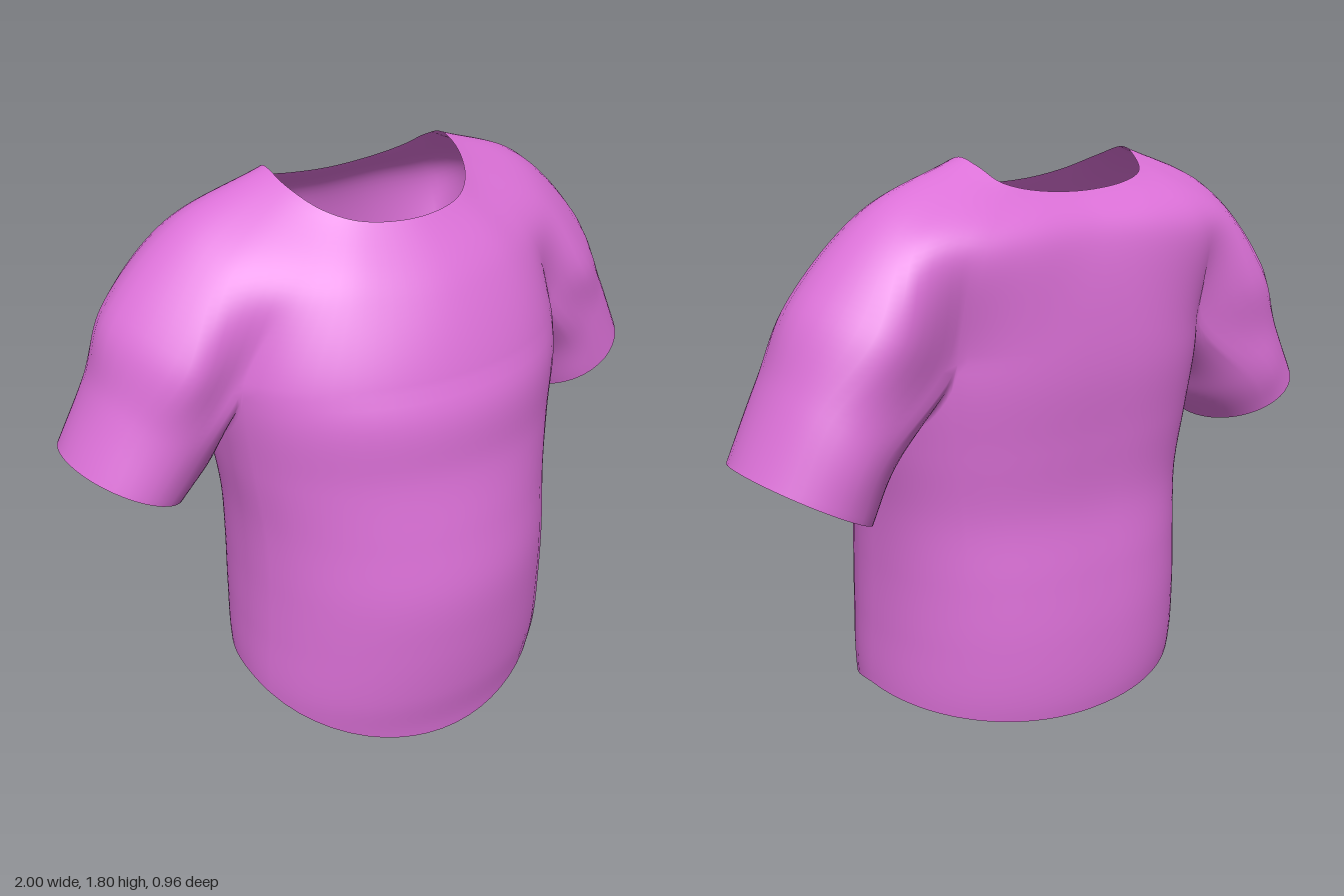
import * as THREE from 'three';
import { mergeVertices } from 'three/addons/utils/BufferGeometryUtils.js';

const COLS = 96, STEP = 6;                      // columns round the body, columns per key point
const V = (x, y, z) => new THREE.Vector3(x, y, z);
const { lerp, degToRad, clamp } = THREE.MathUtils;

// Catmull-Rom interpolation between b and c
const cr = (a, b, c, d, t) =>
  b + 0.5 * t * (c - a + t * (2 * a - 5 * b + 4 * c - d + t * (3 * (b - c) + d - a)));
const crV = (a, b, c, d, t) =>
  V(cr(a.x, b.x, c.x, d.x, t), cr(a.y, b.y, c.y, d.y, t), cr(a.z, b.z, c.z, d.z, t));
const reflect = (p, q) => p.clone().multiplyScalar(2).sub(q);

// Body profile every 0.2 in height: half width, front depth, back depth
const BODY = [
  [0.53, 0.41, 0.44], [0.545, 0.45, 0.475], [0.535, 0.475, 0.475], [0.525, 0.485, 0.455],
  [0.525, 0.46, 0.43], [0.545, 0.43, 0.44], [0.56, 0.42, 0.455], [0.555, 0.345, 0.45],
];
function bodyPoint(angle, y) {
  const f = clamp(y / 0.2, 0, 6.999), i = Math.floor(f);
  const at = k => BODY[clamp(k, 0, 7)];
  const [w, front, back] = [0, 1, 2].map(k => cr(at(i - 1)[k], at(i)[k], at(i + 1)[k], at(i + 2)[k], f - i));
  const c = Math.cos(angle), s = Math.sin(angle);
  const e = s >= 0 ? 1 : 2 / (2 + 0.75 * y);    // the back is squarer than the front
  return V(-0.02 + w * Math.sign(c) * Math.abs(c) ** e, y, s >= 0 ? front * s : -back * Math.abs(s) ** e);
}

// Column angles run front -> left side -> back -> right side
const KEY_ANGLES = [90, 55, 15, 0.5, -14, -28.5, -43, -65, -90];
function columnAngle(j) {
  const m = j <= COLS / 2 ? j : COLS - j;
  const k = Math.min(Math.floor(m / STEP), 7);
  const a = degToRad(lerp(KEY_ANGLES[k], KEY_ANGLES[k + 1], m / STEP - k));
  return j <= COLS / 2 ? a : Math.PI - a;
}
// Position across the armhole, 0..1, or -1 outside it
function armhole(j) {
  const m = j <= COLS / 2 ? j : COLS - j;
  return m >= 12 && m <= 36 ? (m - 12) / 24 : -1;
}
const hemY = a => Math.sin(a) > 0 ? 0.2 * (1 - Math.sin(a) ** 1.5) : 0.2 - 0.05 * Math.sin(a) ** 2;
const topY = j => 1.28 - (armhole(j) > 0 && armhole(j) < 1 ? 0.2 * Math.sin(Math.PI * armhole(j)) ** 0.7 : 0);
const bodyTop = j => bodyPoint(columnAngle(j), topY(j));

// Closed smooth ring from nine key points of the left half, mirrored about x = shift
function ring(half, shift) {
  const keys = half.map(p => V(p[0] + shift, p[1], p[2]));
  for (let k = 7; k > 0; k--) keys.push(V(shift - half[k][0], half[k][1], half[k][2]));
  return Array.from({ length: COLS }, (_, j) => {
    const k = Math.floor(j / STEP), at = n => keys[(n + 16) % 16];
    return crV(at(k - 1), at(k), at(k + 1), at(k + 2), (j % STEP) / STEP);
  });
}

export function createModel() {
  const positions = [], index = [], ranges = [];

  // Adds a closed tube of rows, bottom row first
  function addTube(name, rows) {
    const base = positions.length / 3, n = rows[0].length, start = index.length;
    rows.forEach(row => row.forEach(p => positions.push(p.x, p.y, p.z)));
    for (let i = 0; i < rows.length - 1; i++) for (let j = 0; j < n; j++) {
      const a = base + i * n + j, b = base + i * n + (j + 1) % n;
      index.push(a, b, b + n, a, b + n, a + n);
    }
    ranges.push([name, start, index.length]);
  }

  // Key rings of the yoke: neckline, shoulder line, armhole line
  const neck = ring([
    [0, 1.68, 0.15], [0.15, 1.69, 0.12], [0.24, 1.72, 0.05], [0.29, 1.765, -0.05], [0.3, 1.797, -0.15],
    [0.285, 1.775, -0.22], [0.25, 1.735, -0.28], [0.15, 1.71, -0.305], [0, 1.7, -0.31]], -0.02);
  const shoulder = ring([
    [0, 1.5, 0.295], [0.24, 1.52, 0.24], [0.42, 1.53, 0.14], [0.55, 1.6, 0.02], [0.585, 1.685, -0.17],
    [0.55, 1.62, -0.34], [0.42, 1.58, -0.405], [0.24, 1.58, -0.425], [0, 1.58, -0.415]], -0.01);
  const keyTop = KEY_ANGLES.map(a => {
    const p = bodyPoint(degToRad(a), 1.28);
    return [p.x + 0.01, p.y, p.z];
  });
  keyTop[3] = [0.7, 1.37, 0.085];
  keyTop[4] = [0.81, 1.47, -0.17];
  keyTop[5] = [0.68, 1.39, -0.41];
  const outer = ring(keyTop, -0.01).map((p, j) =>
    armhole(j) > 0 && armhole(j) < 1 ? p : bodyTop(j));

  // Torso from hem to armpit line
  const torsoRows = [];
  for (let i = 0; i <= 40; i++) torsoRows.push(Array.from({ length: COLS }, (_, j) => {
    const a = columnAngle(j);
    return bodyPoint(a, lerp(hemY(a), topY(j), i / 40));
  }));
  addTube('torso', torsoRows);

  // Sleeves: armhole ring, middle ring, cuff; each ring is upper half then underarm half
  const sleeveGhost = {};
  for (const side of [1, -1]) {
    const s = side > 0 ? 12 : 60;
    const ellipse = (cx, cy, ux, uy, w, k) => {
      const deg = k <= 24 ? 110 - 220 * k / 24 : -110 - 140 * (k - 24) / 24;
      const f = degToRad(deg), c = Math.cos(f);
      return V(side * (cx + ux * c), cy + uy * c, -0.17 + side * w * Math.sin(f));
    };
    const cols = Array.from({ length: 48 }, (_, k) => {
      const upper = k <= 24;
      const top = upper ? outer[s + k] : bodyTop(s + 48 - k);
      const mid = ellipse(0.742, 1.122, 0.152, 0.137, 0.243, k);
      const cuff = side > 0 ? ellipse(0.825, 0.95, 0.175, 0.1, 0.23, k) : ellipse(0.84, 0.98, 0.16, 0.09, 0.23, k);
      if (upper) sleeveGhost[s + k] = mid;
      return [reflect(cuff, mid), cuff, mid, top, upper ? shoulder[s + k] : reflect(top, mid)];
    });
    const rows = [];
    for (let i = 0; i <= 20; i++) {
      const g = i < 10 ? 0 : 1, t = i / 10 - g;
      rows.push(cols.map(c => crV(c[g], c[g + 1], c[g + 2], c[g + 3], t)));
    }
    addTube(side > 0 ? 'leftSleeve' : 'rightSleeve', rows);
  }

  // Yoke: chest, upper back and shoulders up to the neckline
  const yokeRows = [];
  for (let i = 0; i <= 24; i++) {
    const g = i < 12 ? 0 : 1, t = i / 12 - g;
    yokeRows.push(outer.map((p, j) => {
      const inArm = armhole(j) > 0 && armhole(j) < 1;
      const below = inArm ? sleeveGhost[j] : bodyPoint(columnAngle(j), 1.03);
      const c = [below, p, shoulder[j], neck[j], reflect(neck[j], shoulder[j])];
      return crV(c[g], c[g + 1], c[g + 2], c[g + 3], t);
    }));
  }
  addTube('yoke', yokeRows);

  // Weld the parts so that shading runs smoothly across the seams
  let cloth = new THREE.BufferGeometry();
  cloth.setAttribute('position', new THREE.Float32BufferAttribute(positions, 3));
  cloth.setIndex(index);
  cloth = mergeVertices(cloth, 1e-4);
  cloth.computeVertexNormals();

  const material = new THREE.MeshStandardMaterial({ color: 0xda70d6, side: THREE.DoubleSide });
  const group = new THREE.Group();
  group.name = 'shirt';
  const welded = Array.from(cloth.index.array);
  for (const [name, start, end] of ranges) {
    const part = new THREE.BufferGeometry();
    part.setAttribute('position', cloth.attributes.position);
    part.setAttribute('normal', cloth.attributes.normal);
    part.setIndex(welded.slice(start, end));
    const mesh = new THREE.Mesh(part, material);
    mesh.name = name;
    group.add(mesh);
  }
  return group;
}
